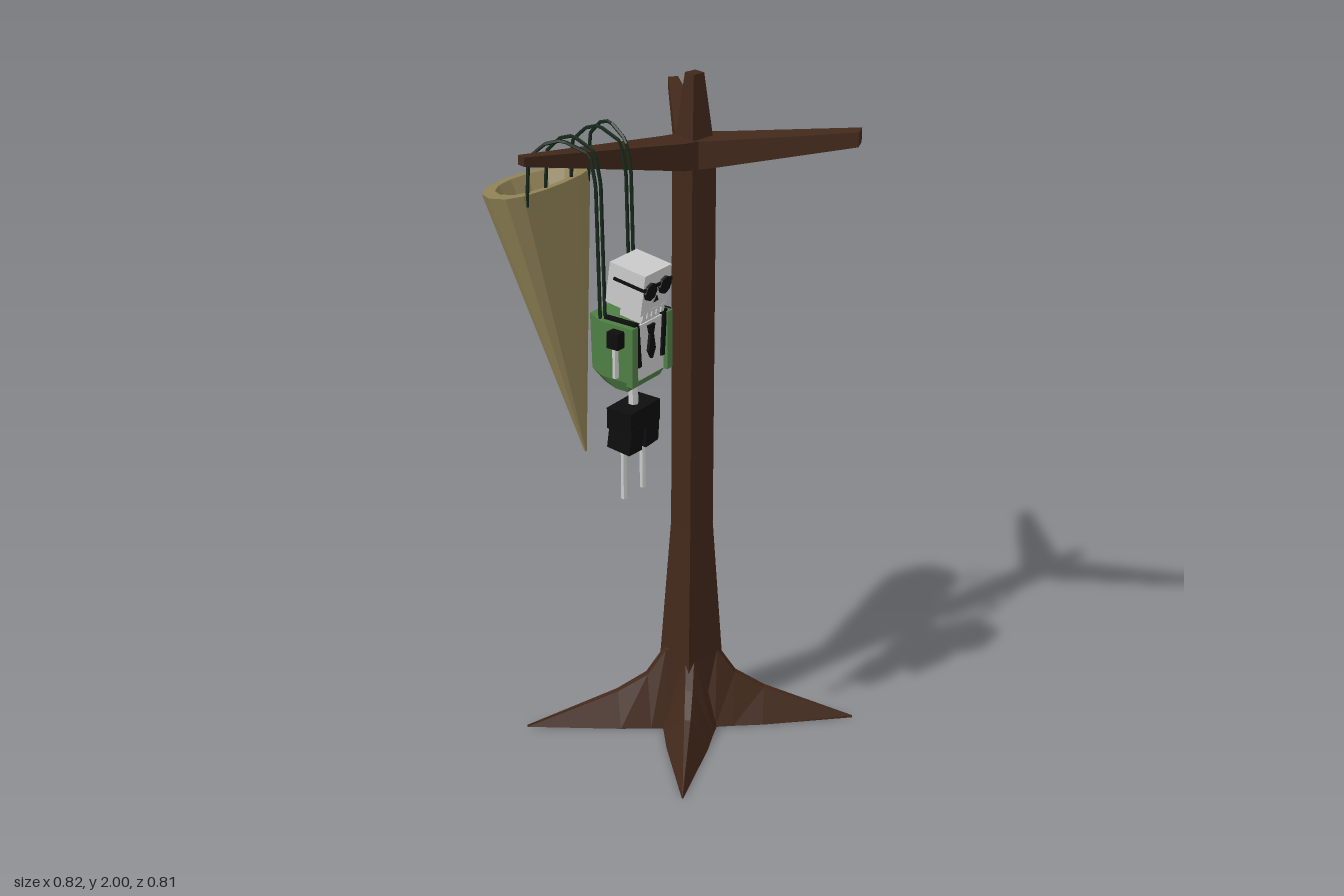
import * as THREE from 'three';

const mat = (color, double) => new THREE.MeshStandardMaterial({
  color, flatShading: true, side: double ? THREE.DoubleSide : THREE.FrontSide });
const WOOD = mat(0x42281a), HORN = mat(0x8f8055, true), GREEN = mat(0x4f7f45);
const BLACK = mat(0x0d0d0d), BONE = mat(0xcccccc), CORD = mat(0x16281a);

function add(parent, name, geometry, material, pos = [0, 0, 0], rot = [0, 0, 0]) {
  const m = new THREE.Mesh(geometry, material);
  m.name = name;
  m.position.set(...pos);
  m.rotation.set(...rot);
  parent.add(m);
  return m;
}
const box = (parent, name, w, h, d, material, pos, rot) =>
  add(parent, name, new THREE.BoxGeometry(w, h, d), material, pos, rot);

// closed solid through a list of rings of [x, y, z]; winding is set so faces point outward
function loft(rings) {
  const tris = [], n = rings[0].length;
  const R = rings.map(r => r.map(p => new THREE.Vector3(...p)));
  for (let i = 0; i + 1 < R.length; i++) for (let j = 0; j < n; j++) {
    const k = (j + 1) % n, a = R[i][j], b = R[i][k], c = R[i + 1][k], d = R[i + 1][j];
    tris.push([a, b, c], [a, c, d]);
  }
  const first = R[0], last = R[R.length - 1];
  for (let j = 1; j + 1 < n; j++)
    tris.push([first[0], first[j + 1], first[j]], [last[0], last[j], last[j + 1]]);
  let volume = 0;
  const o = first[0], v = new THREE.Vector3();
  for (const [a, b, c] of tris)
    volume += v.clone().subVectors(a, o).dot(v.clone().subVectors(b, o).cross(v.clone().subVectors(c, o)));
  const out = [];
  for (const [a, b, c] of tris) {
    if (v.clone().subVectors(b, a).cross(v.clone().subVectors(c, a)).length() < 1e-9) continue;
    for (const p of volume < 0 ? [a, c, b] : [a, b, c]) out.push(p.x, p.y, p.z);
  }
  const g = new THREE.BufferGeometry();
  g.setAttribute('position', new THREE.Float32BufferAttribute(out, 3));
  g.computeVertexNormals();
  return g;
}

const TX = 0.143, TZ = -0.018; // trunk centre

function buildTree() {
  const tree = new THREE.Group();
  tree.name = 'tree';

  // square trunk, slightly twisted, with a pointed top
  const c = Math.cos(0.24), s = Math.sin(0.24);
  const square = (y, h) => [[-1, -1], [1, -1], [1, 1], [-1, 1]].map(([u, w]) =>
    [TX + h * (u * c - w * s), y, TZ + h * (u * s + w * c)]);
  add(tree, 'trunk', loft([square(0, 0.085), square(0.22, 0.065), square(0.66, 0.043),
    square(1.78, 0.042), square(1.83, 0.035), square(2, 0.018)]), WOOD);

  // frame along the ground from the trunk to a tip
  const along = (x, z) => {
    const dx = x - TX, dz = z - TZ, l = Math.hypot(dx, dz);
    return (t, w, y) => [TX + dx * t - (dz / l) * w, y, TZ + dz * t + (dx / l) * w];
  };

  // roots: wedge sections that sink to the ground
  for (const [x, z] of [[-0.237, 0.225], [0.403, 0.4], [0.38, -0.265], [-0.22, -0.365]]) {
    const p = along(x, z);
    const sections = [[0, 0.085, 0.26], [0.16, 0.085, 0.23], [0.27, 0.075, 0.15], [0.45, 0.062, 0.1], [1, 0.002, 0.006]];
    add(tree, 'root', loft(sections.map(([t, w, h]) =>
      [p(t, -w, 0), p(t, w, 0), p(t, w * 0.15, h), p(t, -w * 0.15, h)])), WOOD);
  }

  // branches: tapered beams that rise to their ends
  for (const [x, z, w, y0, y1] of [[-0.408, -0.155, 0.013, 1.865, 1.89],
    [0.4, -0.275, 0.014, 1.85, 1.885], [0.302, 0.4, 0.023, 1.84, 1.88]]) {
    const p = along(x, z);
    const sec = (t, hw, lo, hi) => [p(t, -hw, lo), p(t, hw, lo), p(t, hw, hi), p(t, -hw, hi)];
    add(tree, 'branch', loft([sec(0, 0.045, 1.745, 1.825), sec(0.13, 0.045, 1.755, 1.83),
      sec(1, w, y0, y1)]), WOOD);
  }
  return tree;
}

function buildHorn() {
  // slanted hollow cone: tip, outer rim, inner rim, sunken floor
  const N = 14;
  const ring = (rx, back, front, cy, cz, tilt) => Array.from({ length: N }, (_, i) => {
    const a = (i / N) * Math.PI * 2 + Math.PI / 2, sn = Math.sin(a);
    const dz = sn < 0 ? sn * back : Math.pow(sn, 0.7) * front;
    return [-0.197 + rx * Math.cos(a), cy + dz * tilt, cz + dz];
  });
  return loft([ring(0.003, 0.003, 0.003, 0.99, -0.137, 0), ring(0.177, 0.132, 0.083, 1.742, -0.273, 0.16),
    ring(0.137, 0.1, 0.062, 1.742, -0.275, 0.16), ring(0.048, 0.03, 0.03, 1.53, -0.235, 0)]);
}

function buildFigure() {
  const f = new THREE.Group();
  f.name = 'hangingFigure';
  f.position.x = -0.197;

  // head, tipped forward, with dark glasses
  const head = new THREE.Group();
  head.name = 'head';
  head.position.set(0, 1.532, 0.05);
  head.rotation.x = 0.14;
  f.add(head);
  box(head, 'skull', 0.115, 0.115, 0.115, BONE);
  box(head, 'jaw', 0.08, 0.035, 0.07, BONE, [0, -0.07, 0.015]);
  for (let i = -2; i <= 2; i++)
    box(head, 'tooth', 0.014, 0.025, 0.01, BONE, [i * 0.02, -0.062, 0.053]);
  box(head, 'glassesBridge', 0.12, 0.008, 0.006, BLACK, [0, 0.018, 0.06]);
  add(head, 'nose', new THREE.CylinderGeometry(0.013, 0.013, 0.006, 3), BLACK, [0, -0.023, 0.058], [Math.PI / 2, Math.PI, 0]);
  for (const s of [-1, 1]) {
    add(head, 'lens', new THREE.CylinderGeometry(0.025, 0.025, 0.008, 8), BLACK, [s * 0.031, 0.008, 0.061], [Math.PI / 2, 0, 0]);
    box(head, 'glassesArm', 0.005, 0.008, 0.1, BLACK, [s * 0.059, 0.018, 0.012]);
  }
  add(f, 'neck', new THREE.CylinderGeometry(0.016, 0.016, 0.09, 6), BONE, [0, 1.455, 0.035]);

  // green vest with bevelled back and tucked bottom
  const outline = (y, k, b, fr) => [[-0.088 * k, fr], [0.088 * k, fr], [0.088 * k, b + 0.055],
    [0.06 * k, b], [-0.06 * k, b], [-0.088 * k, b + 0.055]].map(([x, z]) => [x, y, z]);
  add(f, 'vest', loft([outline(1.25, 0.8, -0.03, 0.065), outline(1.285, 1, -0.06, 0.08),
    outline(1.44, 1, -0.065, 0.08)]), GREEN);
  box(f, 'shirt', 0.12, 0.155, 0.02, BONE, [0, 1.357, 0.076]);
  add(f, 'tie', loft([[-0.002, 0.002, 1.33], [-0.015, 0.015, 1.355], [-0.007, 0.007, 1.4], [-0.014, 0.014, 1.425]]
    .map(([a, b, y]) => [[a, y, 0.085], [b, y, 0.085], [b, y, 0.094], [a, y, 0.094]])), BLACK);
  for (const s of [-1, 1]) {
    box(f, 'vestFront', 0.024, 0.165, 0.02, GREEN, [s * 0.076, 1.357, 0.085]);
    box(f, 'lapel', 0.014, 0.12, 0.012, BLACK, [s * 0.055, 1.38, 0.086], [0, 0, -s * 0.08]);
    box(f, 'shoulderStrap', 0.016, 0.008, 0.1, BLACK, [s * 0.063, 1.443, 0.04]);
    // arms
    box(f, 'sleeve', 0.045, 0.045, 0.036, BLACK, [s * 0.094, 1.407, 0.051]);
    add(f, 'armBone', new THREE.CylinderGeometry(0.009, 0.009, 0.1, 6), BONE, [s * 0.103, 1.35, 0.051]);
    // shorts and legs
    box(f, 'shortsLeg', 0.056, 0.075, 0.075, BLACK, [s * 0.035, 1.098, 0.03], [0.1, 0, s * 0.05]);
    add(f, 'legBone', new THREE.CylinderGeometry(0.009, 0.009, 0.17, 6), BONE, [s * 0.042, 0.998, 0.028]);
  }
  add(f, 'spine', new THREE.CylinderGeometry(0.014, 0.014, 0.12, 6), BONE, [0, 1.22, 0.03]);
  box(f, 'shortsTop', 0.13, 0.06, 0.08, BLACK, [0, 1.152, 0.03]);

  // cords over the branch, from the horn rim to the vest
  for (const s of [-1, 1]) for (const [xa, xm, xb] of [[0.127, 0.1, 0.074], [0.053, 0.053, 0.053]]) {
    const path = new THREE.CurvePath();
    const pts = [[xa, 1.72, -0.212], [xa, 1.855, -0.202], [(xa + xm) / 2, 1.895, -0.16], [xm, 1.91, -0.115],
      [xb, 1.88, -0.045], [xb, 1.8, -0.028], [xb, 1.42, -0.02]].map(([x, y, z]) => new THREE.Vector3(s * x, y, z));
    for (let i = 0; i + 1 < pts.length; i++) path.add(new THREE.LineCurve3(pts[i], pts[i + 1]));
    add(f, 'cord', new THREE.TubeGeometry(path, 40, 0.005, 5), CORD);
  }
  return f;
}

export function createModel() {
  const model = new THREE.Group();
  model.name = 'treeWithHangingFigure';
  model.add(buildTree(), buildFigure());
  add(model, 'horn', buildHorn(), HORN);
  return model;
}
